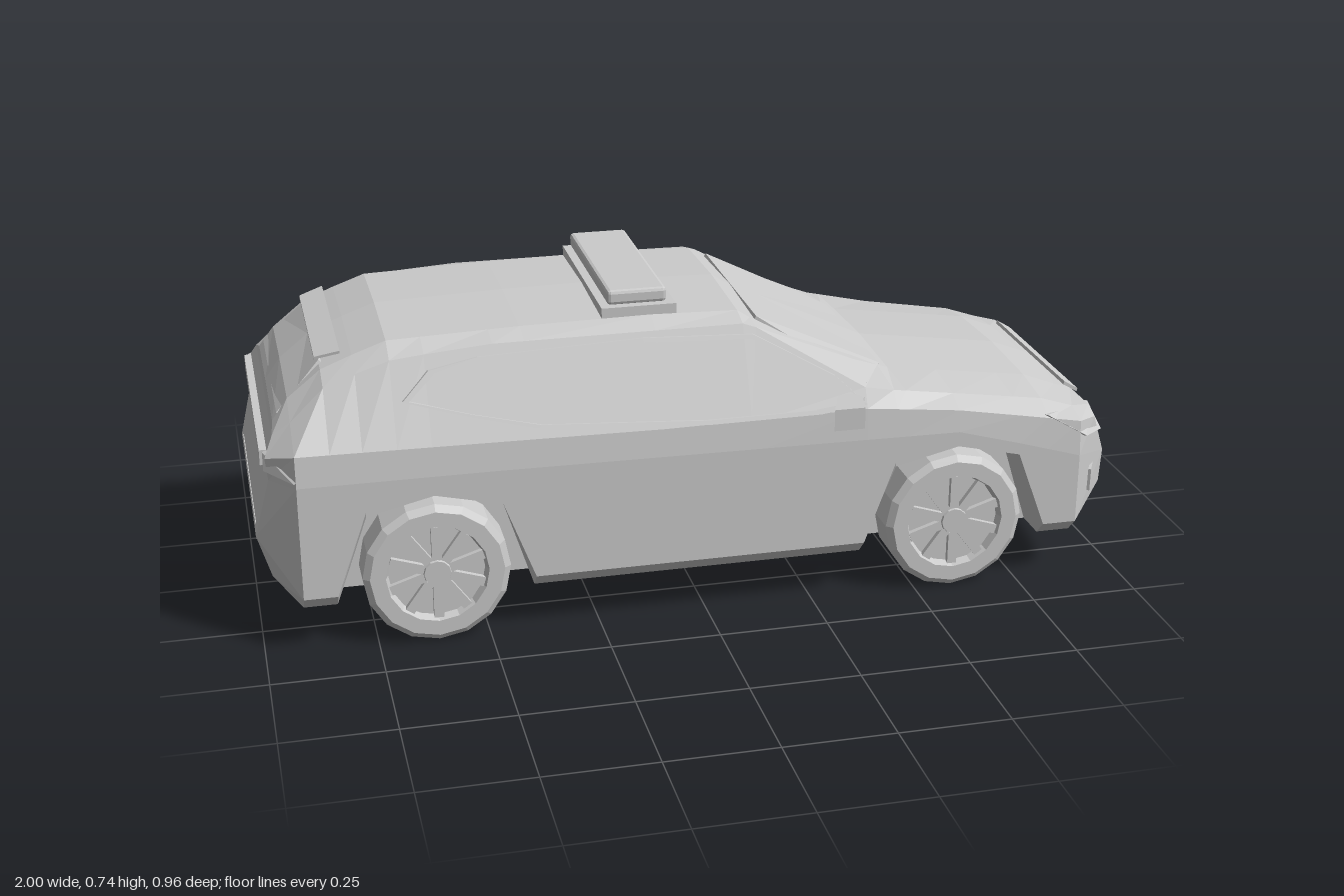
import * as THREE from 'three';
import { ConvexGeometry } from 'three/addons/geometries/ConvexGeometry.js';
import { RoundedBoxGeometry } from 'three/addons/geometries/RoundedBoxGeometry.js';

const mat = new THREE.MeshStandardMaterial({ color: 0xcccccc, flatShading: true, side: THREE.DoubleSide });
const WHEELS = [-0.615, 0.59];

function part(name, geo, parent) {
  const m = new THREE.Mesh(geo, mat);
  m.name = name;
  parent.add(m);
  return m;
}

// Piecewise linear line through [x, value] points
function line(pts) {
  return x => {
    if (x <= pts[0][0]) return pts[0][1];
    for (let i = 1; i < pts.length; i++) {
      const [a, va] = pts[i - 1], [b, vb] = pts[i];
      if (x <= b) return va + (vb - va) * (x - a) / (b - a);
    }
    return pts[pts.length - 1][1];
  };
}

// Long lines of the body: wheel opening, shoulder, belt, rail, roof edge, centre line
const opening = line(WHEELS.flatMap(w => [[w - 0.22, 0.1], [w - 0.15, 0.32], [w, 0.355], [w + 0.15, 0.32], [w + 0.22, 0.1]]));
const shoulderY = line([[-0.5, 0.4], [0.6, 0.39], [0.9, 0.3]]);
const beltY = line([[-0.9, 0.47], [-0.1, 0.46], [0.375, 0.465], [0.6, 0.44], [0.9, 0.385]]);
const railY = line([[-0.9, 0.52], [-0.83, 0.595], [-0.69, 0.64], [-0.5, 0.66], [0.1, 0.66], [0.13, 0.65], [0.375, 0.506], [0.59, 0.465], [0.81, 0.43], [0.9, 0.4]]);
const railZ = line([[-0.9, 0.3], [-0.83, 0.29], [0.1, 0.288], [0.13, 0.292], [0.375, 0.357], [0.59, 0.33], [0.9, 0.32]]);
const topY = line([[-0.9, 0.56], [-0.83, 0.625], [-0.69, 0.675], [-0.2, 0.69], [0.1, 0.682], [0.13, 0.662], [0.47, 0.503], [0.81, 0.455], [0.9, 0.42]]);
const edgeZ = line([[0.13, 0.235], [0.375, 0.26], [0.47, 0.21]]);

function section(x) {
  const o = opening(x), open = o > 0.11;
  return [
    [x, 0.1, 0], [x, 0.1, 0.27], [x, o, 0.27], [x, o, open ? 0.385 : 0.35],
    [x, open ? o + 0.01 : 0.135, 0.385], [x, shoulderY(x), 0.385], [x, beltY(x), 0.378],
    [x, railY(x), railZ(x)], [x, topY(x) - 0.008, edgeZ(x)], [x, topY(x), 0],
  ];
}

// Lofted body shell, closed by a tail face and a nose face
function bodyGeometry() {
  const tail = [
    [-0.88, 0.1, 0], [-0.88, 0.1, 0.25], [-0.88, 0.1, 0.27], [-0.97, 0.16, 0.3], [-1, 0.26, 0.3],
    [-0.965, 0.4, 0.32], [-0.97, 0.45, 0.32], [-0.95, 0.49, 0.29], [-0.945, 0.505, 0.24], [-0.945, 0.51, 0],
  ];
  const nose = [
    [0.9, 0.085, 0], [0.9, 0.085, 0.25], [0.9, 0.085, 0.28], [0.91, 0.095, 0.32], [0.985, 0.19, 0.29],
    [0.99, 0.27, 0.29], [0.945, 0.375, 0.33], [0.94, 0.395, 0.3], [0.935, 0.4, 0.2], [0.935, 0.405, 0],
  ];
  const xs = [-0.91, -0.835, -0.765, -0.69, -0.615, -0.465, -0.395, -0.1, 0.1, 0.13, 0.37, 0.44, 0.47, 0.59, 0.74, 0.81, 0.89];
  const rings = [tail, ...xs.map(section), nose];
  const out = [], flip = ([x, y, z]) => [x, y, -z];
  const quad = (a, b, c, d) => {
    for (const t of [[a, b, c], [a, c, d]]) {
      if (new THREE.Triangle(...t.map(p => new THREE.Vector3(...p))).getArea() > 1e-7) out.push(...t.flat());
    }
  };
  for (let j = 0; j < rings.length - 1; j++) {
    for (let i = 0; i < 9; i++) {
      const q = [rings[j][i], rings[j + 1][i], rings[j + 1][i + 1], rings[j][i + 1]];
      quad(...q);
      quad(...q.map(flip).reverse());
    }
  }
  for (let i = 0; i < 9; i++) {
    quad(flip(nose[i]), flip(nose[i + 1]), nose[i + 1], nose[i]);
    quad(tail[i], tail[i + 1], flip(tail[i + 1]), flip(tail[i]));
  }
  const g = new THREE.BufferGeometry();
  g.setAttribute('position', new THREE.Float32BufferAttribute(out, 3));
  g.computeVertexNormals();
  return g;
}

// Thin solid panel: corner points plus the same points pushed by an offset
function panel(pts, dx, dy, dz) {
  const v = pts.map(p => new THREE.Vector3(...p));
  return new ConvexGeometry([...v, ...v.map(p => p.clone().add(new THREE.Vector3(dx, dy, dz)))]);
}

const mirrorZ = pts => pts.flatMap(([x, y, z]) => [[x, y, z], [x, y, -z]]);

// Side window trim, leaned onto the cabin side
function windowTrim(side) {
  const pts = [[-0.67, 0.56], [-0.61, 0.617], [-0.5, 0.637], [-0.13, 0.648], [0.12, 0.638], [0.3, 0.54], [0.37, 0.475], [0.26, 0.463], [0, 0.462], [-0.38, 0.485], [-0.53, 0.52]];
  const shape = new THREE.Shape(pts.map(p => new THREE.Vector2(...p)));
  const inner = pts.map(([x, y]) => new THREE.Vector2(-0.1 + (x + 0.1) * 0.975, 0.555 + (y - 0.555) * 0.9));
  shape.holes.push(new THREE.Path(inner));
  const g = new THREE.ExtrudeGeometry(shape, { depth: 0.012, bevelEnabled: false });
  const p = g.attributes.position;
  for (let i = 0; i < p.count; i++) {
    p.setZ(i, side * (p.getZ(i) - 0.007 + 0.378 - (p.getY(i) - 0.46) * 0.45));
  }
  if (side < 0) {
    // Swap two corners of each triangle to keep faces outward
    for (let i = 0; i < p.count; i += 3) {
      const a = new THREE.Vector3().fromBufferAttribute(p, i), b = new THREE.Vector3().fromBufferAttribute(p, i + 1);
      p.setXYZ(i, b.x, b.y, b.z);
      p.setXYZ(i + 1, a.x, a.y, a.z);
    }
  }
  g.computeVertexNormals();
  return g;
}

// Wheel facing +z: tyre, recessed rim, spokes and hub
function makeWheel() {
  const wheel = new THREE.Group();
  wheel.name = 'wheel';
  const profile = [[0, -0.05], [0.15, -0.05], [0.165, -0.042], [0.165, 0.038], [0.15, 0.05], [0.115, 0.05], [0.108, 0.03], [0, 0.03]];
  const tyre = new THREE.LatheGeometry(profile.map(p => new THREE.Vector2(...p)), 16);
  part('tyre', tyre.rotateX(Math.PI / 2), wheel);
  for (let i = 0; i < 10; i++) {
    const spoke = new THREE.BoxGeometry(0.022, 0.08, 0.012).translate(0, 0.07, 0.036);
    part('spoke', spoke.rotateZ(i * Math.PI / 5), wheel);
  }
  part('hub', new THREE.CylinderGeometry(0.03, 0.035, 0.018, 12).rotateX(Math.PI / 2).translate(0, 0, 0.038), wheel);
  return wheel;
}

// Door mirror drawn from above, on the +z side
function makeMirror() {
  const mirror = new THREE.Group();
  mirror.name = 'doorMirror';
  const slab = (pts, y, h) => new THREE.ExtrudeGeometry(new THREE.Shape(pts.map(([x, z]) => new THREE.Vector2(x, -z))),
    { depth: h, bevelEnabled: false }).rotateX(-Math.PI / 2).translate(0, y, 0);
  part('mirrorHead', slab([[0.26, 0.48], [0.33, 0.48], [0.345, 0.41], [0.32, 0.39], [0.29, 0.4]], 0.462, 0.05), mirror);
  part('mirrorArm', slab([[0.3, 0.41], [0.335, 0.41], [0.37, 0.36], [0.33, 0.36]], 0.468, 0.022), mirror);
  return mirror;
}

export function createModel() {
  const car = new THREE.Group();
  car.name = 'car';
  part('body', bodyGeometry(), car);

  // Glass panels
  part('windscreen', panel(mirrorZ([[0.145, 0.656, 0.235], [0.38, 0.51, 0.335], [0.45, 0.508, 0.21]]), -0.006, -0.012, 0), car);
  part('rearWindow', panel(mirrorZ([[-0.835, 0.622, 0.2], [-0.935, 0.523, 0.24]]), 0.01, -0.01, 0), car);

  // Nose and tail trim
  part('grille', new THREE.BoxGeometry(0.03, 0.067, 0.46).translate(0.985, 0.23, 0), car);
  part('bonnetLip', panel(mirrorZ([[0.91, 0.416, 0.22], [0.945, 0.395, 0.22]]), 0.002, 0.008, 0), car);
  part('spoiler', panel(mirrorZ([[-0.845, 0.627, 0.21], [-0.79, 0.642, 0.225]]), 0, 0.006, 0), car);
  part('tailBand', new THREE.BoxGeometry(0.03, 0.035, 0.6).translate(-0.965, 0.445, 0), car);
  part('rearBumper', new THREE.BoxGeometry(0.03, 0.04, 0.52).translate(-0.983, 0.255, 0), car);

  // Light bar on the roof
  part('lightBarBase', new THREE.BoxGeometry(0.17, 0.025, 0.47).translate(-0.125, 0.689, 0), car);
  part('lightBar', new RoundedBoxGeometry(0.135, 0.034, 0.45, 1, 0.008).translate(-0.127, 0.72, 0), car);

  // Parts repeated on both sides
  for (const s of [1, -1]) {
    const sided = pts => pts.map(([x, y, z]) => [x, y, z * s]);
    part('windowTrim', windowTrim(s), car);
    part('headlight', panel(sided([[0.8, 0.41, 0.375], [0.948, 0.388, 0.26], [0.972, 0.325, 0.22], [0.965, 0.335, 0.31], [0.9, 0.35, 0.378]]), 0.006, 0, 0.004 * s), car);
    part('sideIntake', panel(sided([[0.99, 0.2, 0.24], [0.99, 0.26, 0.24], [0.925, 0.255, 0.362], [0.925, 0.2, 0.36]]), 0.006, 0, 0.003 * s), car);
    part('tailLight', panel(sided([[-0.97, 0.42, 0.31], [-0.97, 0.46, 0.3], [-0.85, 0.47, 0.365], [-0.86, 0.5, 0.33], [-0.91, 0.41, 0.378]]), -0.004, 0, 0.006 * s), car);

    const mirror = makeMirror();
    mirror.rotation.y = 0;
    mirror.scale.z = s;
    car.add(mirror);

    for (const x of WHEELS) {
      const wheel = makeWheel();
      wheel.position.set(x, 0.165, 0.335 * s);
      if (s < 0) wheel.rotation.y = Math.PI;
      car.add(wheel);
    }
  }
  return car;
}
